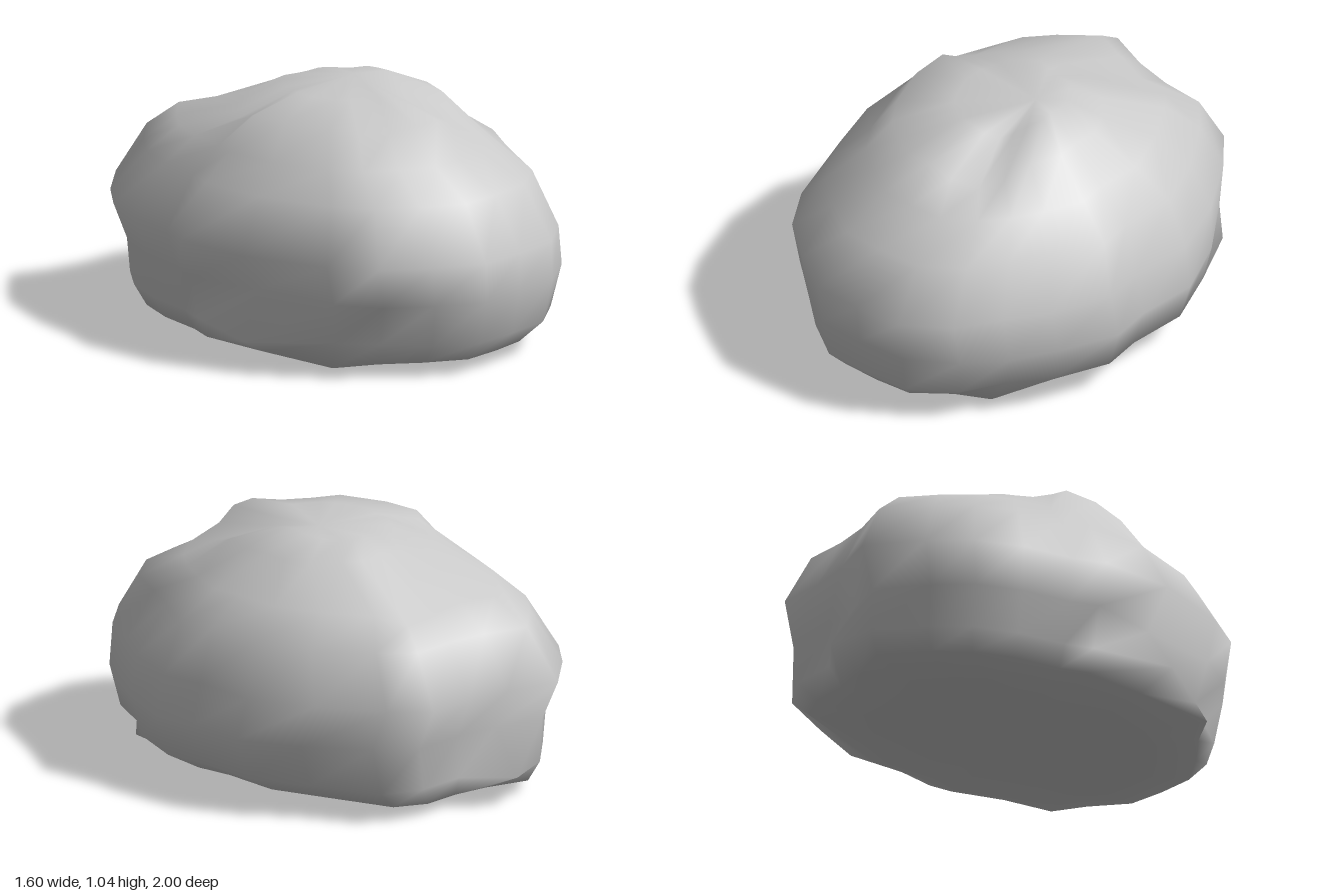
import * as THREE from 'three';

// Plan outline [x, z], anticlockwise from the back when seen from above
const OUTLINE = [
  [-0.30, -1.0], [-0.50, -0.83], [-0.63, -0.68], [-0.71, -0.48], [-0.75, -0.25], [-0.80, -0.12],
  [-0.78, 0.22], [-0.65, 0.58], [-0.53, 0.76], [-0.35, 0.89], [-0.15, 1.0], [0.06, 0.99],
  [0.28, 0.96], [0.47, 0.82], [0.60, 0.66], [0.70, 0.47], [0.80, 0.22], [0.77, 0.04],
  [0.78, -0.24], [0.66, -0.51], [0.48, -0.76], [0.34, -0.90], [0.12, -0.90], [-0.08, -0.93],
];

// Levels: height and reach towards -x, +x, -z, +z
const LEVELS = [
  [0.008, 0.25, 0.25, 0.35, 0.35],
  [0.025, 0.50, 0.46, 0.65, 0.70],
  [0.05, 0.66, 0.58, 0.88, 0.87],
  [0.14, 0.71, 0.74, 0.93, 0.955],
  [0.32, 0.745, 0.80, 0.93, 0.99],
  [0.49, 0.80, 0.755, 1.00, 1.00],
  [0.71, 0.67, 0.69, 0.87, 0.86],
  [0.82, 0.55, 0.53, 0.73, 0.66],
  [0.965, 0.45, 0.38, 0.37, 0.54],
  [1.015, 0.22, 0.22, 0.24, 0.27],
];

// Knobs and dents: level, outline index, outward factor, lift
const BUMPS = [
  // knobs low on the left, the back and the back corner
  [3, 6, 1.14, -0.01], [4, 6, 0.93, 0], [3, 23, 1.14, -0.01],
  [3, 20, 1.05, -0.01], [2, 20, 1.08, 0],
  // flared corners of the base with hollows above
  [2, 14, 1.12, 0.01], [3, 14, 0.95, 0],
  [2, 7, 1.13, 0], [3, 7, 0.98, 0], [3, 8, 0.94, 0],
  // flattened front corner
  [5, 14, 0.97, 0], [6, 14, 0.95, 0], [6, 15, 0.95, 0],
  // lower back slopes of the crown
  [8, 0, 1, -0.03], [8, 1, 1, -0.04], [8, 2, 1, -0.05], [8, 3, 1, -0.05], [8, 4, 1, -0.02],
  [7, 21, 1, -0.04], [7, 22, 1, -0.03],
  // front crest and the dip at its corner
  [8, 8, 1, -0.02], [8, 9, 1, -0.02],
  [8, 12, 0.98, -0.04], [8, 13, 1, -0.08], [8, 14, 1, -0.05],
  [9, 12, 1, -0.02], [9, 13, 1, -0.04], [9, 14, 1, -0.02],
  // peak of the crown
  [9, 16, 1, 0.02], [9, 17, 1, 0.022], [9, 18, 1, 0.015],
];

function boulderGeometry() {
  const n = OUTLINE.length;
  const positions = [];
  const index = [];
  LEVELS.forEach(([y, left, right, back, front], level) => {
    OUTLINE.forEach(([ox, oz], i) => {
      const bump = BUMPS.find((b) => b[0] === level && b[1] === i);
      const [factor, lift] = bump ? bump.slice(2) : [1, 0];
      const x = (ox / 0.8) * (ox < 0 ? left : right) * factor;
      const z = oz * (oz < 0 ? back : front) * factor;
      positions.push(x, y + lift, z);
    });
  });
  const bottom = positions.length / 3;
  positions.push(0, 0, 0, 0.1, 1.03, -0.02);
  // sides
  for (let l = 0; l < LEVELS.length - 1; l++) {
    for (let i = 0; i < n; i++) {
      const a = l * n + i;
      const b = l * n + ((i + 1) % n);
      index.push(a, b, b + n, a, b + n, a + n);
    }
  }
  // underside and crown
  const last = (LEVELS.length - 1) * n;
  for (let i = 0; i < n; i++) {
    const j = (i + 1) % n;
    index.push(bottom, j, i, last + i, last + j, bottom + 1);
  }
  const geometry = new THREE.BufferGeometry();
  geometry.setAttribute('position', new THREE.Float32BufferAttribute(positions, 3));
  geometry.setIndex(index);
  geometry.computeVertexNormals();
  return geometry;
}

export function createModel() {
  const group = new THREE.Group();
  group.name = 'rock';
  const stone = new THREE.MeshStandardMaterial({ color: 0xc9c9c9 });
  stone.name = 'stone grey';
  const boulder = new THREE.Mesh(boulderGeometry(), stone);
  boulder.name = 'boulder';
  group.add(boulder);
  return group;
}
